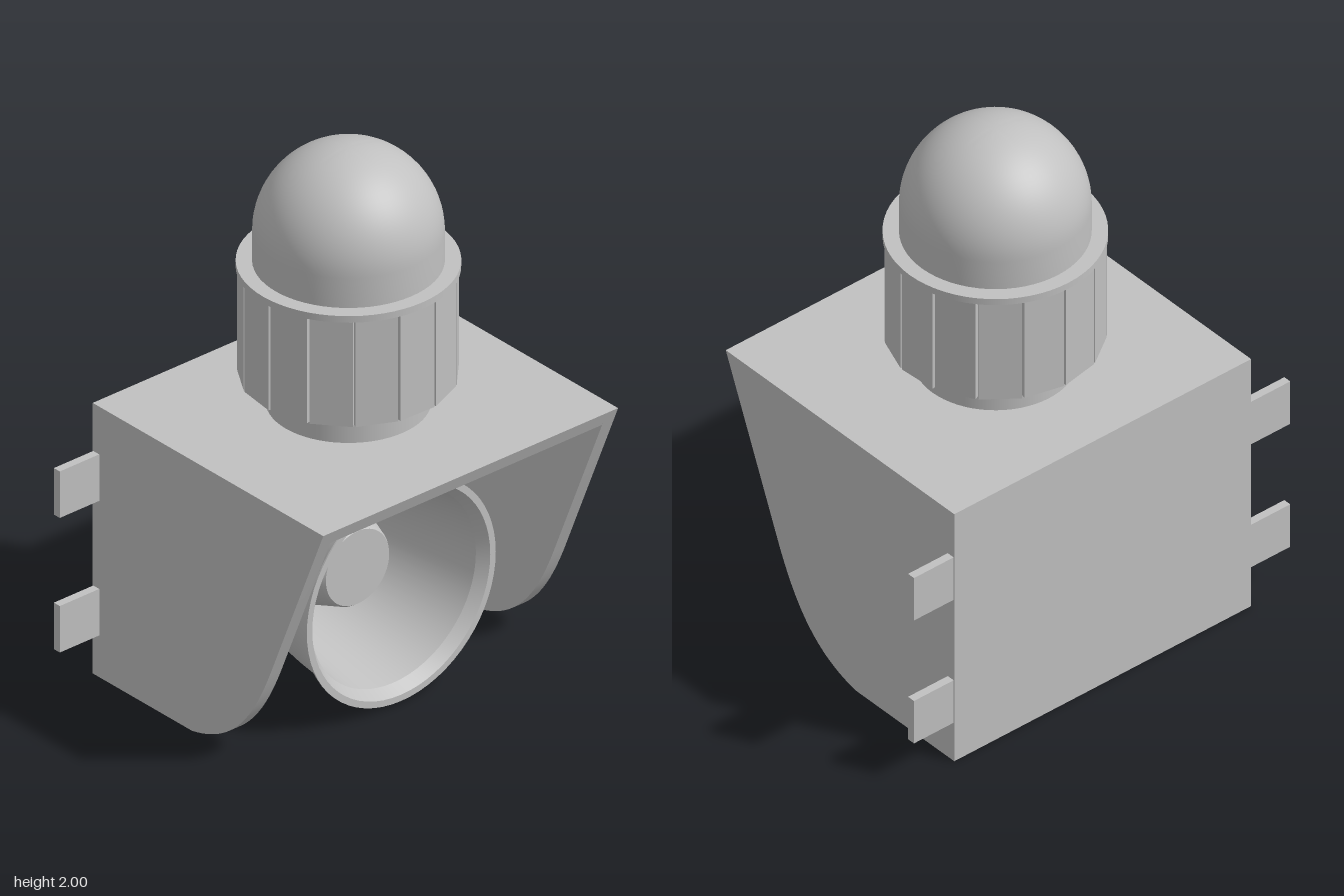
import * as THREE from 'three';
import { toCreasedNormals } from 'three/addons/utils/BufferGeometryUtils.js';

export function createModel() {
  const model = new THREE.Group();
  model.name = 'hornAndBeacon';
  const grey = new THREE.MeshStandardMaterial({ color: 0xc0c0c0 });
  grey.name = 'light grey';

  const add = (name, geometry, x = 0, y = 0, z = 0) => {
    const mesh = new THREE.Mesh(geometry, grey);
    mesh.name = name;
    mesh.position.set(x, y, z);
    model.add(mesh);
    return mesh;
  };

  // Extrudes a (z, y) outline sideways, centred on x = 0
  const slab = (shape, width) => {
    const g = new THREE.ExtrudeGeometry(shape, { depth: width, bevelEnabled: false, curveSegments: 24 });
    g.translate(0, 0, -width / 2);
    g.rotateY(-Math.PI / 2);
    return toCreasedNormals(g, 0.5);
  };
  const outline = (pts) => new THREE.Shape(pts.map(([a, b]) => new THREE.Vector2(a, b)));
  const turned = (pts) => toCreasedNormals(
    new THREE.LatheGeometry(pts.map(([r, h]) => new THREE.Vector2(r, h)), 64), 0.22);

  // Housing: two cheeks with a sweeping front edge, a roof and a back
  const cheek = outline([[-0.58, 0], [-0.08, 0]]);
  cheek.bezierCurveTo(0.12, 0.04, 0.22, 0.17, 0.31, 0.38);
  cheek.lineTo(0.58, 1.03);
  cheek.lineTo(-0.58, 1.03);
  for (const side of [-1, 1]) {
    add(side > 0 ? 'leftCheek' : 'rightCheek', slab(cheek, 0.05), side * 0.618);
  }
  add('roof', slab(outline([[-0.58, 0.975], [0.557, 0.975], [0.58, 1.03], [-0.58, 1.03]]), 1.186));
  add('backPlate', slab(outline([[-0.58, 0], [-0.53, 0], [-0.53, 0.975], [-0.58, 0.975]]), 1.186));

  // Mounting tabs on both sides of the back
  for (const side of [-1, 1]) {
    for (const y of [0.2475, 0.76]) {
      add('mountingTab', new THREE.BoxGeometry(0.175, 0.177, 0.03), side * 0.7275, y, -0.562);
    }
  }

  // Horn: flared bell, open mouth, and a tapered plug in the throat
  const horn = turned([
    [0, -0.53], [0.275, -0.53], [0.37, 0.06], [0.378, 0.13], [0.39, 0.18], [0.412, 0.235],
    [0.412, 0.24], [0.388, 0.24], [0.36, 0.2], [0.268, -0.32], [0.258, -0.32],
    [0.145, 0.01], [0.138, 0.02], [0, 0.02],
  ]);
  horn.rotateX(Math.PI / 2);
  add('horn', horn, -0.008, 0.425, 0);

  // Beacon: neck, faceted collar with grooves, rim and dome
  const bz = -0.035;
  add('beaconNeck', new THREE.CylinderGeometry(0.273, 0.273, 0.125, 64), 0, 1.0875, bz);

  const facets = 15;
  const collar = new THREE.Shape();
  for (let i = 0; i < facets; i++) {
    const start = -Math.PI / 2 + ((i + 0.42) / facets) * Math.PI * 2;
    const end = start + (Math.PI * 2) / facets;
    const corners = [[0.368, start + 0.012], [0.368, end - 0.012], [0.35, end]];
    corners.forEach(([r, a], k) => {
      const x = r * Math.cos(a), y = r * Math.sin(a);
      if (i === 0 && k === 0) collar.moveTo(x, y);
      else collar.lineTo(x, y);
    });
  }
  const collarGeometry = new THREE.ExtrudeGeometry(collar, { depth: 0.4, bevelEnabled: false });
  collarGeometry.rotateX(-Math.PI / 2);
  add('collar', collarGeometry, 0, 1.145, bz);
  add('collarRim', new THREE.CylinderGeometry(0.372, 0.372, 0.025, 64), 0, 1.5575, bz);

  const dome = [[0.318, 1.56]];
  for (let i = 0; i <= 20; i++) {
    const a = (i / 20) * Math.PI / 2;
    dome.push([0.318 * Math.cos(a), 1.682 + 0.318 * Math.sin(a)]);
  }
  add('dome', turned(dome), 0, 0, bz);

  return model;
}
